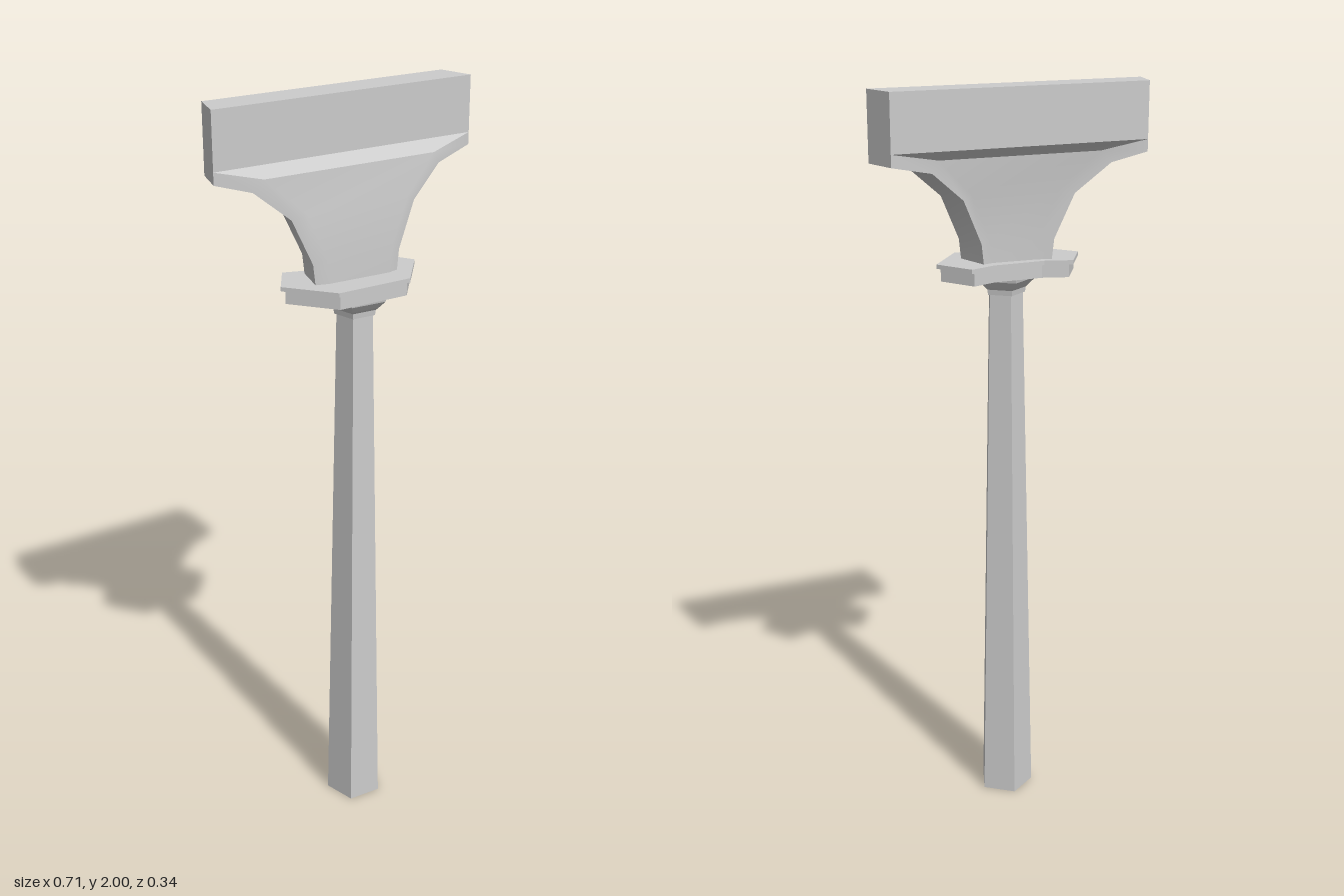
import * as THREE from 'three';
import { toCreasedNormals } from 'three/addons/utils/BufferGeometryUtils.js';

const smooth = new THREE.MeshStandardMaterial({ color: 0xcccccc });
const flat = new THREE.MeshStandardMaterial({ color: 0xcccccc, flatShading: true });

const CENTRE = [-0.026, 0.057]; // column axis (x, z)
const TURN = Math.PI / 12; // the whole head is turned 15 degrees

function add(group, name, geometry, material) {
  const mesh = new THREE.Mesh(geometry, material);
  mesh.name = name;
  group.add(mesh);
  return mesh;
}

// Five-sided turned part from [radius, y] points, bottom to top
function pentagonPart(profile) {
  const points = profile.map(([r, y]) => new THREE.Vector2(r, y));
  return new THREE.LatheGeometry(points, 5, Math.PI / 2).translate(CENTRE[0], 0, CENTRE[1]);
}

// Upright prism over a plan outline of [x, z] points
function prism(plan, y0, y1) {
  const shape = new THREE.Shape(plan.map(([x, z]) => new THREE.Vector2(x, -z)));
  const geometry = new THREE.ExtrudeGeometry(shape, { depth: y1 - y0, bevelEnabled: false });
  return geometry.rotateX(-Math.PI / 2).translate(0, y0, 0);
}

// Plan points along the two arms, which meet at KNEE and are 30 degrees apart
const KNEE = [-0.026, 0.102];
const DEPTH = 0.095;
const ARM_REACH = 0.381;
const rightArm = (s, d) => [KNEE[0] + s, KNEE[1] - d];
const leftArm = (s, d) => [KNEE[0] - 0.866 * s + 0.5 * d, KNEE[1] - 0.5 * s - 0.866 * d];

// Flared bracket: one eight-cornered ring per level, joined into a skin
function bracketGeometry() {
  // [inner y, outer y, left inner, left outer, right inner, right outer]
  const levels = [
    [1.555, 1.555, 0.1, 0.137, 0.076, 0.106],
    [1.62, 1.61, 0.107, 0.143, 0.086, 0.113],
    [1.735, 1.725, 0.155, 0.195, 0.141, 0.168],
    [1.83, 1.8, 0.26, 0.288, 0.242, 0.262],
    [1.856, 1.825, ARM_REACH, ARM_REACH, ARM_REACH, ARM_REACH],
    [1.856, 1.856, ARM_REACH, ARM_REACH, ARM_REACH, ARM_REACH],
  ];
  const positions = [];
  for (const [yIn, yOut, lIn, lOut, rIn, rOut] of levels) {
    const ring = [
      [leftArm(lIn, 0), yIn], [rightArm(rIn, 0), yIn],
      [rightArm(rOut, 0), yOut], [rightArm(rOut, DEPTH), yOut],
      [rightArm(rIn, DEPTH), yIn], [leftArm(lIn, DEPTH), yIn],
      [leftArm(lOut, DEPTH), yOut], [leftArm(lOut, 0), yOut],
    ];
    for (const [[x, z], y] of ring) positions.push(x, y, z);
  }
  const index = [];
  for (let k = 0; k < levels.length - 1; k++) {
    for (let i = 0; i < 8; i++) {
      const a = k * 8 + i, b = k * 8 + ((i + 1) % 8);
      index.push(a, b, b + 8, a, b + 8, a + 8);
    }
  }
  const geometry = new THREE.BufferGeometry();
  geometry.setAttribute('position', new THREE.Float32BufferAttribute(positions, 3));
  geometry.setIndex(index);
  return toCreasedNormals(geometry, 0.5);
}

// Winged plate outline, mirrored about the head's own axis, hollowed at the back
function platePlan(scale) {
  const half = [[0.104, 0.089], [0.199, -0.027], [0.14, -0.12], [0.07, -0.097]];
  const outline = [...half, ...half.map(([t, n]) => [-t, n]).reverse()];
  const c = Math.cos(TURN), s = Math.sin(TURN);
  return outline.map(([t, n]) => [
    CENTRE[0] + scale * (t * c - n * s),
    CENTRE[1] + scale * (t * s + n * c),
  ]);
}

export function createModel() {
  const model = new THREE.Group();
  model.name = 'column';

  // Tapered shaft
  add(model, 'shaft', pentagonPart([[0, 0], [0.077, 0], [0.048, 1.47]]), flat);

  // Flaring neck below the plates
  add(model, 'neck', pentagonPart([
    [0, 1.463], [0.054, 1.463], [0.056, 1.477], [0.064, 1.484],
    [0.082, 1.502], [0.085, 1.515],
  ]), flat);

  // Two stacked plates
  add(model, 'lowerPlate', prism(platePlan(0.94), 1.513, 1.548), flat);
  add(model, 'upperPlate', prism(platePlan(1), 1.547, 1.558), flat);

  // Bracket and the beam it carries
  add(model, 'bracket', bracketGeometry(), smooth);
  const beamPlan = [
    leftArm(ARM_REACH, 0), rightArm(ARM_REACH, 0),
    rightArm(ARM_REACH, DEPTH), leftArm(ARM_REACH, DEPTH),
  ];
  add(model, 'beam', prism(beamPlan, 1.856, 2), flat);

  return model;
}
